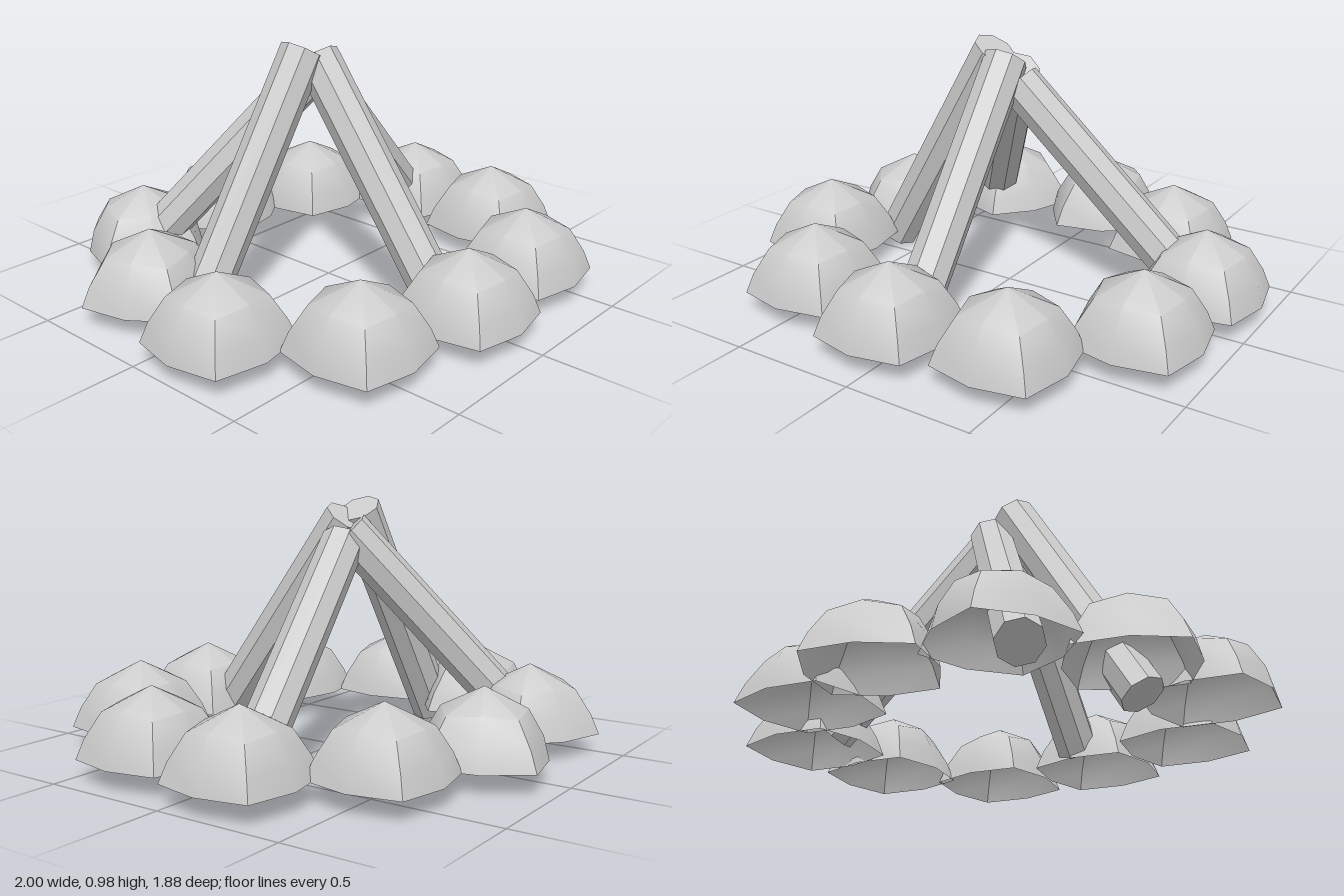
import * as THREE from 'three';
import { toCreasedNormals } from 'three/addons/utils/BufferGeometryUtils.js';

const stoneMaterial = new THREE.MeshStandardMaterial({ color: 0xcccccc, side: THREE.DoubleSide });
const logMaterial = new THREE.MeshStandardMaterial({ color: 0xcccccc, flatShading: true });

// Hollow dome, eight-sided, with its corners pushed out towards a rounded square
function stoneGeometry() {
  const profile = [[0.232, 0], [0.21, 0.09], [0.155, 0.185], [0, 0.26]].map(([r, y]) => new THREE.Vector2(r, y));
  const geometry = new THREE.LatheGeometry(profile, 8);
  const p = geometry.attributes.position;
  for (let i = 0; i < p.count; i++) {
    const column = Math.floor(i / profile.length);
    const row = i % profile.length;
    if (column % 2 === 1) {
      const s = row === 0 ? 1.17 : 1.14;
      const drop = row === 1 || row === 2 ? 0.015 : 0;
      p.setXYZ(i, p.getX(i) * s, p.getY(i) - drop, p.getZ(i) * s);
    }
  }
  return toCreasedNormals(geometry, 0.6);
}

// Straight eight-sided log between two end centres
function makeLog(name, top, bottom) {
  const a = new THREE.Vector3(...top);
  const b = new THREE.Vector3(...bottom);
  const axis = a.clone().sub(b);
  const log = new THREE.Mesh(new THREE.CylinderGeometry(0.086, 0.086, axis.length(), 8), logMaterial);
  log.name = name;
  log.position.copy(a).add(b).multiplyScalar(0.5);
  log.quaternion.setFromUnitVectors(new THREE.Vector3(0, 1, 0), axis.normalize());
  return log;
}

export function createModel() {
  const model = new THREE.Group();
  model.name = 'campfire';

  // Ring of stones: x, z, turn
  const ring = new THREE.Group();
  ring.name = 'stoneRing';
  const geometry = stoneGeometry();
  const places = [
    [-0.045, 0.705, 0], [0.415, 0.65, 0], [0.73, 0.28, 0], [0.77, -0.16, 0],
    [0.465, -0.53, 0], [0.06, -0.69, 0.42], [-0.41, -0.645, -0.52], [-0.685, -0.27, 0.43],
    [-0.77, 0.185, 0], [-0.495, 0.585, 0],
  ];
  places.forEach(([x, z, turn], i) => {
    const stone = new THREE.Mesh(geometry, stoneMaterial);
    stone.name = `stone${i + 1}`;
    stone.position.set(x, 0.08, z);
    stone.rotation.y = turn;
    ring.add(stone);
  });
  model.add(ring);

  // Four logs leaning together
  const logs = new THREE.Group();
  logs.name = 'logs';
  logs.add(
    makeLog('frontLog', [-0.035, 0.91, -0.03], [-0.035, 0.13, 0.55]),
    makeLog('rightLog', [-0.095, 0.94, -0.045], [-0.63, 0.05, -0.08]),
    makeLog('leftLog', [0.01, 0.82, -0.05], [0.69, 0.14, -0.15]),
    makeLog('backLog', [0.0, 0.86, -0.06], [-0.46, 0.09, -0.6]),
  );
  model.add(logs);
  return model;
}
